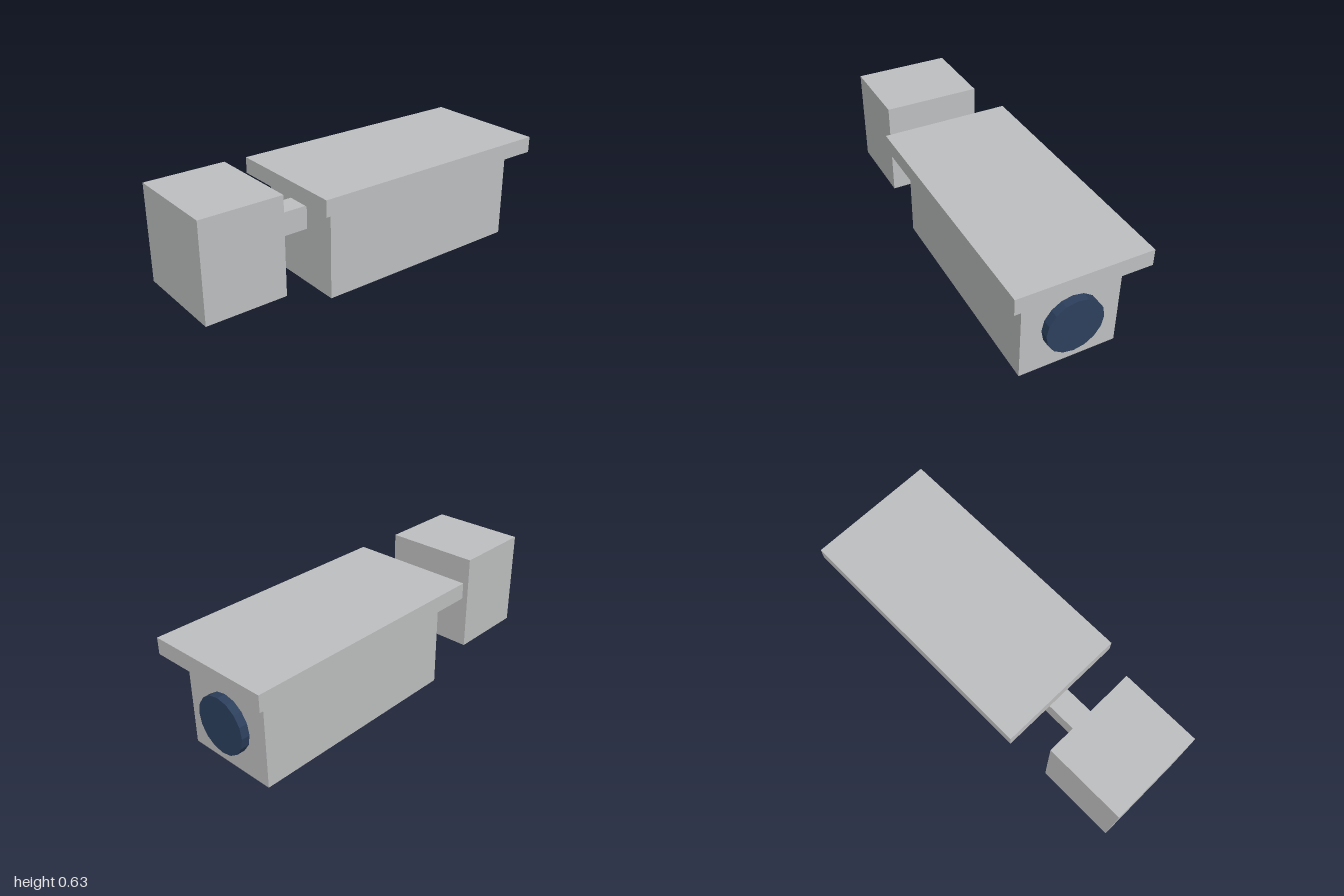
import * as THREE from 'three';

export function createModel() {
  const group = new THREE.Group();
  const casing = new THREE.MeshStandardMaterial({ color: 0xbdbebf });
  casing.name = 'casing grey';
  const glass = new THREE.MeshStandardMaterial({ color: 0x2c3f5c, flatShading: true });
  glass.name = 'lens blue';

  // Box given by its x and y extents and its depth, centred on z = 0
  function block(name, x0, x1, y0, y1, depth) {
    const mesh = new THREE.Mesh(new THREE.BoxGeometry(x1 - x0, y1 - y0, depth), casing);
    mesh.position.set((x0 + x1) / 2, (y0 + y1) / 2, 0);
    mesh.name = name;
    group.add(mesh);
  }

  block('wallMount', -1, -0.566, 0.11, 0.632, 0.52);
  block('arm', -0.566, -0.304, 0.31, 0.437, 0.127);
  block('cameraBody', -0.304, 0.91, 0, 0.48, 0.52);
  block('sunHood', -0.392, 1, 0.501, 0.588, 0.695);

  // Sixteen-sided lens on the +x end of the body
  const lens = new THREE.Mesh(new THREE.CylinderGeometry(0.152, 0.152, 0.044, 16), glass);
  lens.rotation.z = -Math.PI / 2;
  lens.position.set(0.932, 0.24, 0);
  lens.name = 'lens';
  group.add(lens);

  return group;
}
